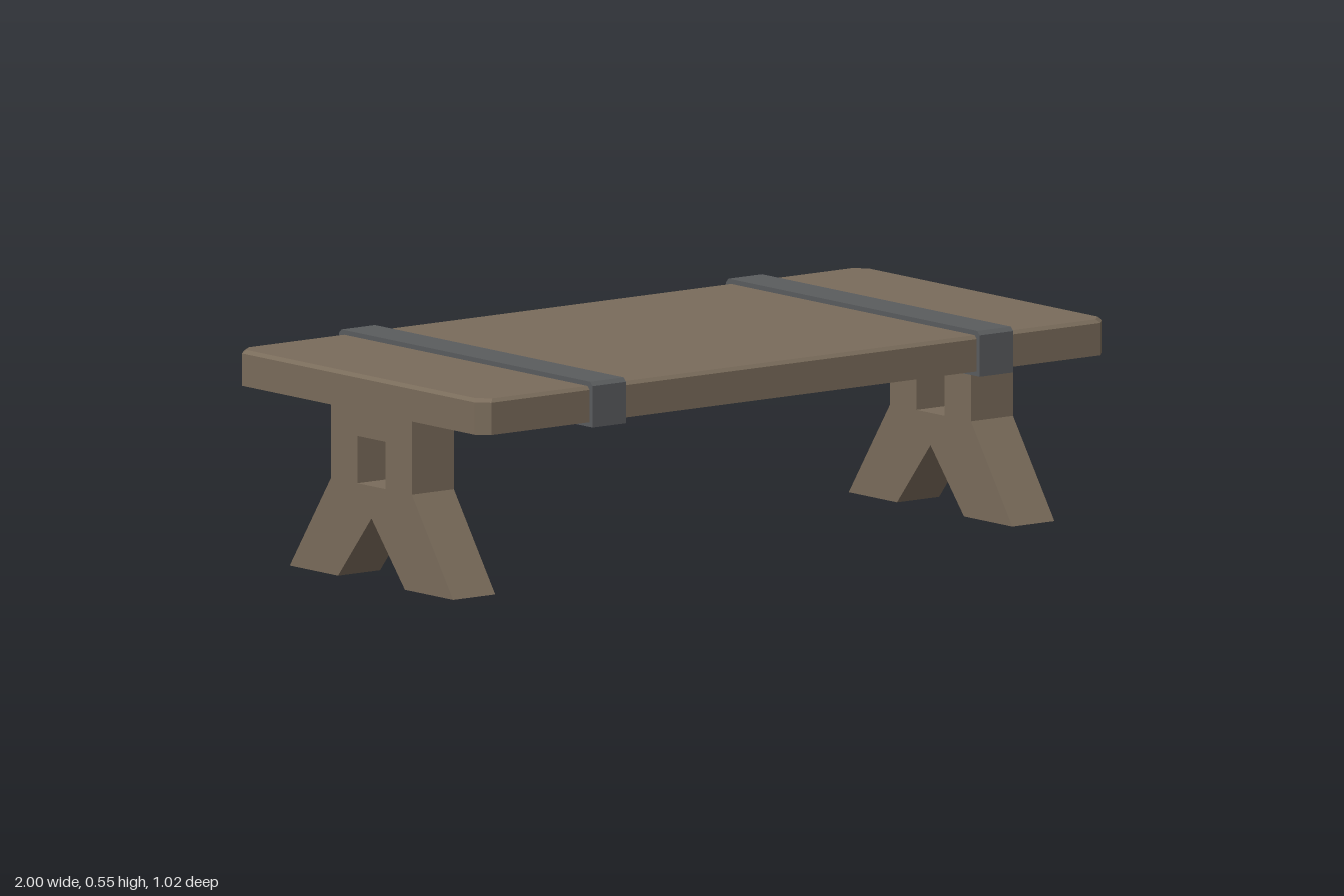
import * as THREE from 'three';

const wood = new THREE.MeshStandardMaterial({ color: 0x7a6c5b, flatShading: true });
const iron = new THREE.MeshStandardMaterial({ color: 0x5a5c5e, flatShading: true });

const toShape = (pts) => new THREE.Shape(pts.map(([a, b]) => new THREE.Vector2(a, b)));

// Extrudes a (z, y) profile along x, centred on x = 0
function extrudeAlongX(shape, width) {
  const geo = new THREE.ExtrudeGeometry(shape, { depth: width, bevelEnabled: false });
  geo.translate(0, 0, -width / 2);
  geo.rotateY(-Math.PI / 2);
  return geo;
}

// Plank with clipped corners and a small bevel around its upper edge
function plankGeometry(hx, hz, y0, y1, clip, bevel) {
  const h = y1 - y0;
  const shape = toShape([
    [hx - clip, -hz], [hx, -hz + clip], [hx, hz - clip], [hx - clip, hz],
    [-hx + clip, hz], [-hx, hz - clip], [-hx, -hz + clip], [-hx + clip, -hz],
  ]);
  const geo = new THREE.ExtrudeGeometry(shape, { depth: h, steps: 2, bevelEnabled: false });
  const p = geo.attributes.position;
  for (let i = 0; i < p.count; i++) {
    const z = p.getZ(i);
    if (z > h * 0.75) {
      // top ring moves inwards
      p.setX(i, p.getX(i) * (1 - bevel / hx));
      p.setY(i, p.getY(i) * (1 - bevel / hz));
    } else if (z > h * 0.25) {
      // middle ring rises to the start of the bevel
      p.setZ(i, h - bevel);
    }
  }
  geo.rotateX(-Math.PI / 2);
  geo.translate(0, y0, 0);
  geo.computeVertexNormals();
  return geo;
}

// Forked trestle with a square hole through the post
function trestleGeometry() {
  const shape = toShape([
    [0.135, 0], [0.33, 0], [0.163, 0.245], [0.163, 0.442],
    [-0.163, 0.442], [-0.163, 0.245], [-0.33, 0], [-0.135, 0], [0, 0.163],
  ]);
  shape.holes.push(new THREE.Path([
    [-0.057, 0.245], [-0.057, 0.365], [0.057, 0.365], [0.057, 0.245],
  ].map(([a, b]) => new THREE.Vector2(a, b))));
  return extrudeAlongX(shape, 0.134);
}

// Metal strap around the plank, top corners chamfered
function strapGeometry() {
  const z = 0.512, y0 = 0.43, y1 = 0.545, c = 0.01;
  return extrudeAlongX(toShape([
    [-z, y0], [z, y0], [z, y1 - c], [z - c, y1], [-z + c, y1], [-z, y1 - c],
  ]), 0.107);
}

export function createModel() {
  const group = new THREE.Group();
  group.name = 'trestleTable';
  const add = (name, geo, mat, x = 0) => {
    const mesh = new THREE.Mesh(geo, mat);
    mesh.name = name;
    mesh.position.x = x;
    group.add(mesh);
  };

  add('tableTop', plankGeometry(1, 0.5, 0.442, 0.533, 0.03, 0.009), wood);

  const trestle = trestleGeometry();
  add('leftTrestle', trestle, wood, 0.891);
  add('rightTrestle', trestle, wood, -0.891);

  const strap = strapGeometry();
  add('leftStrap', strap, iron, 0.63);
  add('rightStrap', strap, iron, -0.604);

  return group;
}
